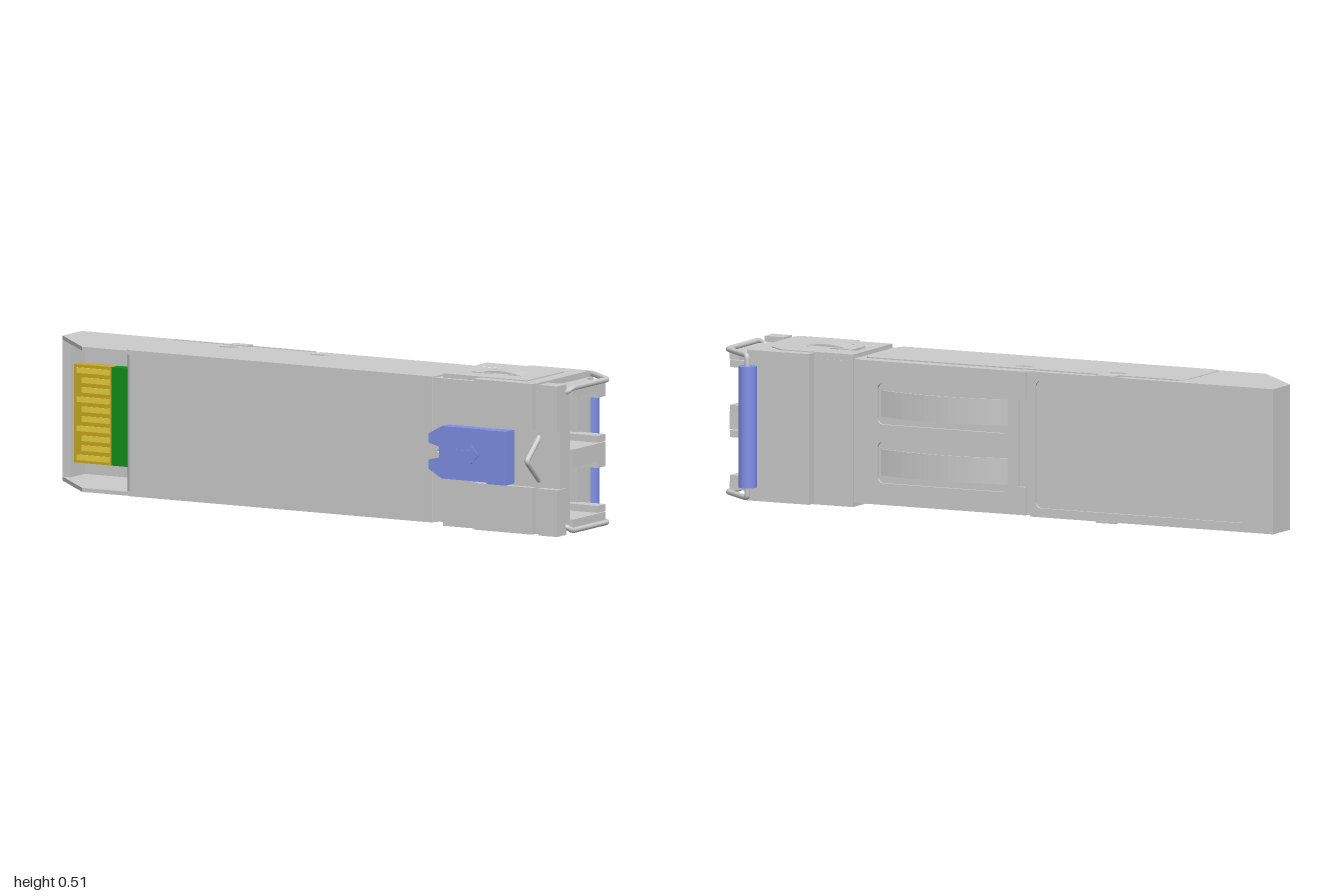
import * as THREE from 'three';

const MID = 0.257; // mirror plane height
const grey = new THREE.MeshStandardMaterial({ color: 0xcccccc });
const colour = (c) => new THREE.MeshStandardMaterial({ color: c });
const blue = colour(0x7f8fe6), green = colour(0x109018), gold = colour(0xc9a820), brightGold = colour(0xead23c);

export function createModel() {
  const model = new THREE.Group();
  const add = (name, geo, mat = grey) => {
    const m = new THREE.Mesh(geo, mat);
    m.name = name;
    model.add(m);
    return m;
  };
  const box = (name, x0, x1, y0, y1, z0, z1, mat) => add(name,
    new THREE.BoxGeometry(x1 - x0, y1 - y0, z1 - z0)
      .translate((x0 + x1) / 2, (y0 + y1) / 2, (z0 + z1) / 2), mat);
  const poly = (pts) => new THREE.Shape(pts.map(([a, b]) => new THREE.Vector2(a, b)));
  // rounded rectangle outline
  const rounded = (x0, x1, y0, y1, r) => {
    const s = new THREE.Shape();
    s.absarc(x1 - r, y1 - r, r, 0, Math.PI / 2);
    s.absarc(x0 + r, y1 - r, r, Math.PI / 2, Math.PI);
    s.absarc(x0 + r, y0 + r, r, Math.PI, Math.PI * 1.5);
    s.absarc(x1 - r, y0 + r, r, Math.PI * 1.5, Math.PI * 2);
    s.closePath();
    return s;
  };
  const extrude = (shape, depth) => new THREE.ExtrudeGeometry(shape, { depth, bevelEnabled: false, curveSegments: 10 });
  // shape in x,y pushed along z
  const plateZ = (name, shape, z0, z1, mat) => add(name, extrude(shape, z1 - z0).translate(0, 0, z0), mat);
  // shape in x,-z pushed along y
  const plateY = (name, shape, y0, y1, mat) =>
    add(name, extrude(shape, y1 - y0).rotateX(-Math.PI / 2).translate(0, y0, 0), mat);
  const plan = (pts) => poly(pts.map(([x, z]) => [x, -z]));
  // run a builder for the upper and lower mirrored spans
  const both = (y0, y1, fn) => { fn(y0, y1); fn(2 * MID - y1, 2 * MID - y0); };

  // Main housing with a slightly proud wrap-around cover
  box('housing', -0.65, 0.66, 0.024, 0.491, -0.132, 0.154);
  plateY('cover', rounded(-0.66, 0.5, -0.16, 0.1, 0.025), 0.02, 0.495);
  box('frontCover', -0.64, 0.49, 0.02, 0.495, 0.1, 0.16);

  // Open connector end: two side walls, floor and end wall
  const wall = plan([[-1, -0.14], [-1, -0.02], [-0.82, 0.16], [-0.64, 0.16], [-0.64, -0.14]]);
  both(0.48, 0.493, (a, b) => plateY('connectorWall', wall, a, b));
  box('connectorFloor', -1, -0.64, 0.021, 0.493, -0.132, -0.11);
  box('endWall', -1, -0.97, 0.021, 0.493, -0.14, -0.02);

  // Edge connector board and contact fingers
  box('circuitBoard', -0.76, -0.64, 0.1, 0.42, 0.035, 0.075, green);
  box('contactPad', -0.9, -0.76, 0.1, 0.42, 0.035, 0.075, gold);
  for (let i = 0; i < 10; i++) {
    const y = 0.118 + i * 0.0315, inset = i % 3 ? 0.03 : 0.01;
    box('contactFinger', -0.9 + inset, -0.765, y - 0.009, y + 0.009, 0.07, 0.078, brightGold);
  }

  // Back panel with a shallow label recess
  const panel = poly([[-1, 0.021], [-0.12, 0.021], [-0.12, 0.493], [-1, 0.493]]);
  panel.holes.push(rounded(-0.9, -0.14, 0.05, 0.464, 0.02));
  plateZ('backPanel', panel, -0.14, -0.131);

  // Spring plate with two bowed contact leaves
  const springPlate = poly([[-0.105, 0.024], [0.5, 0.024], [0.5, 0.491], [-0.105, 0.491],
    [-0.105, 0.4], [-0.08, 0.4], [-0.08, 0.115], [-0.105, 0.115]]);
  both(0.285, 0.42, (a, b) => springPlate.holes.push(rounded(-0.04, 0.43, a, b, 0.02)));
  plateZ('springPlate', springPlate, -0.143, -0.131);
  const bow = (x0, x1, base, height, t) => {
    const outer = [], inner = [];
    for (let i = 0; i <= 16; i++) {
      const u = i / 16, h = base + height * 4 * u * (1 - u), x = x0 + (x1 - x0) * u;
      outer.push([x, h]);
      inner.unshift([x, h - t]);
    }
    return poly([...outer, ...inner]);
  };
  both(0.31, 0.395, (a, b) => plateY('backSpring', bow(-0.04, 0.42, 0.136, 0.035, 0.006), a, b));

  // Latch tabs and small slots along the side edges
  both(0.488, 0.497, (a, b) => {
    for (const x of [-0.4, -0.06]) {
      const slot = rounded(x - 0.03, x + 0.03, 0.052, 0.07, 0.008);
      slot.holes.push(rounded(x - 0.025, x + 0.025, 0.056, 0.066, 0.004));
      plateY('sideSlot', slot, a, b);
    }
    box('sideTab', -0.43, -0.36, a, b, -0.143, -0.105);
  });

  // Head block, hollow where the two ports enter
  box('headCore', 0.52, 0.7, 0.03, 0.484, -0.14, 0.155);
  const step = [[0.66, -0.176], [0.885, -0.176], [0.885, 0.157], [0.66, 0.157]];
  both(0.475, 0.502, (a, b) => plateY('headSide', plan(step), a, b));
  box('headBack', 0.66, 0.885, 0.03, 0.484, -0.176, -0.125);
  box('headFront', 0.66, 0.97, 0.04, 0.474, 0.095, 0.157);
  both(0.35, 0.502, (a, b) => box('headFrontPlate', 0.66, 0.88, a, b, 0.15, 0.178));
  both(0.35, 0.47, (a, b) => box('frameFrontBlock', 0.905, 0.975, a, b, 0.12, 0.183));
  both(0.47, 0.502, (a, b) => box('frameCorner', 0.905, 0.975, a, b, 0.125, 0.183));

  // Port partitions with a scooped rear edge
  const rib = plan([[0.68, -0.17], [0.89, -0.17], [0.893, -0.145], [0.905, -0.122],
    [0.925, -0.108], [0.95, -0.103], [0.985, -0.105], [0.985, 0.1], [0.68, 0.1]]);
  plateY('middleRib', rib, 0.228, 0.287);
  both(0.455, 0.482, (a, b) => plateY('outerRib', rib, a, b));

  // Ports: rear lips beside the keyway, back wall and ferrule sleeve
  for (const y of [MID - 0.114, MID + 0.114]) {
    for (const s of [-1, 1]) {
      const c = y + s * 0.073;
      box('portLip', 0.7, 0.975, c - 0.0115, c + 0.0115, -0.12, -0.07);
    }
    box('portRoof', 0.7, 0.88, y - 0.07, y + 0.07, -0.13, -0.105);
    const ring = new THREE.Shape().absarc(0, 0, 0.053, 0, Math.PI * 2);
    ring.holes.push(new THREE.Path().absarc(0, 0, 0.045, 0, Math.PI * 2));
    add('ferruleSleeve', new THREE.ExtrudeGeometry(ring, { depth: 0.16, bevelEnabled: false, curveSegments: 24 })
      .rotateY(Math.PI / 2).translate(0.69, y, 0.01));
  }

  // Side shields with a cut-out and a bowed contact leaf
  const shield = plan([[0.52, -0.138], [0.78, -0.138], [0.835, -0.095], [0.835, 0.138], [0.52, 0.138]]);
  shield.holes.push(plan([[0.55, -0.055], [0.78, -0.055], [0.78, -0.035], [0.575, -0.035],
    [0.575, 0.055], [0.77, 0.055], [0.77, 0.07], [0.55, 0.07]]));
  both(0.484, 0.505, (a, b) => plateY('sideShield', shield, a, b));
  for (const s of [-1, 1]) {
    const leaf = add('sideSpring', extrude(bow(0.59, 0.77, 0.243, 0.013, 0.008), 0.07).translate(0, 0, -0.05 + 0.03));
    leaf.position.y = MID;
    if (s < 0) leaf.geometry.rotateX(Math.PI).translate(0, 0, 0.03);
  }

  // Release tab: tapered plate, raised grip and two-way arrow
  plateZ('releaseTab', poly([[0.5, 0.2], [0.55, 0.172], [0.8, 0.172], [0.8, 0.343],
    [0.55, 0.343], [0.5, 0.315], [0.5, 0.285], [0.54, 0.275], [0.54, 0.24], [0.5, 0.23]]), 0.15, 0.195, blue);
  box('tabGrip', 0.73, 0.8, 0.17, 0.345, 0.165, 0.215, blue);
  plateZ('tabArrow', poly([[0.56, 0.258], [0.59, 0.288], [0.59, 0.27], [0.66, 0.27], [0.66, 0.288],
    [0.69, 0.258], [0.66, 0.228], [0.66, 0.246], [0.59, 0.246], [0.59, 0.228]]), 0.19, 0.198, blue);
  plateZ('tabCatch', poly([[0.495, 0.235], [0.54, 0.22], [0.555, 0.235], [0.525, 0.258],
    [0.555, 0.28], [0.54, 0.295], [0.495, 0.28]]), 0.15, 0.185);

  // Bail: bent wire with a V catch in front and a roller handle behind
  const wire = (name, pts) => {
    const path = new THREE.CurvePath();
    const v = pts.map((p) => new THREE.Vector3(...p));
    let from = v[0];
    for (let i = 1; i < v.length - 1; i++) {
      const before = v[i].clone().add(v[i - 1].clone().sub(v[i]).setLength(0.012));
      const after = v[i].clone().add(v[i + 1].clone().sub(v[i]).setLength(0.012));
      path.add(new THREE.LineCurve3(from, before));
      path.add(new THREE.QuadraticBezierCurve3(before, v[i], after));
      from = after;
    }
    path.add(new THREE.LineCurve3(from, v[v.length - 1]));
    add(name, new THREE.TubeGeometry(path, 120, 0.009, 10));
  };
  for (const s of [-1, 1]) {
    const y = (d) => MID + s * d;
    wire('bailWire', [[0.89, y(0.215), 0.125], [0.975, y(0.218), 0.125], [0.988, y(0.232), 0.11],
      [0.988, y(0.232), -0.11], [0.868, y(0.232), -0.208], [0.866, y(0.17), -0.209]]);
  }
  wire('catchWire', [[0.89, MID + 0.09, 0.13], [0.89, MID, 0.232], [0.89, MID - 0.09, 0.13]]);
  add('rollerHandle', new THREE.CylinderGeometry(0.03, 0.03, 0.394, 28).translate(0.866, MID, -0.208), blue);

  return model;
}
